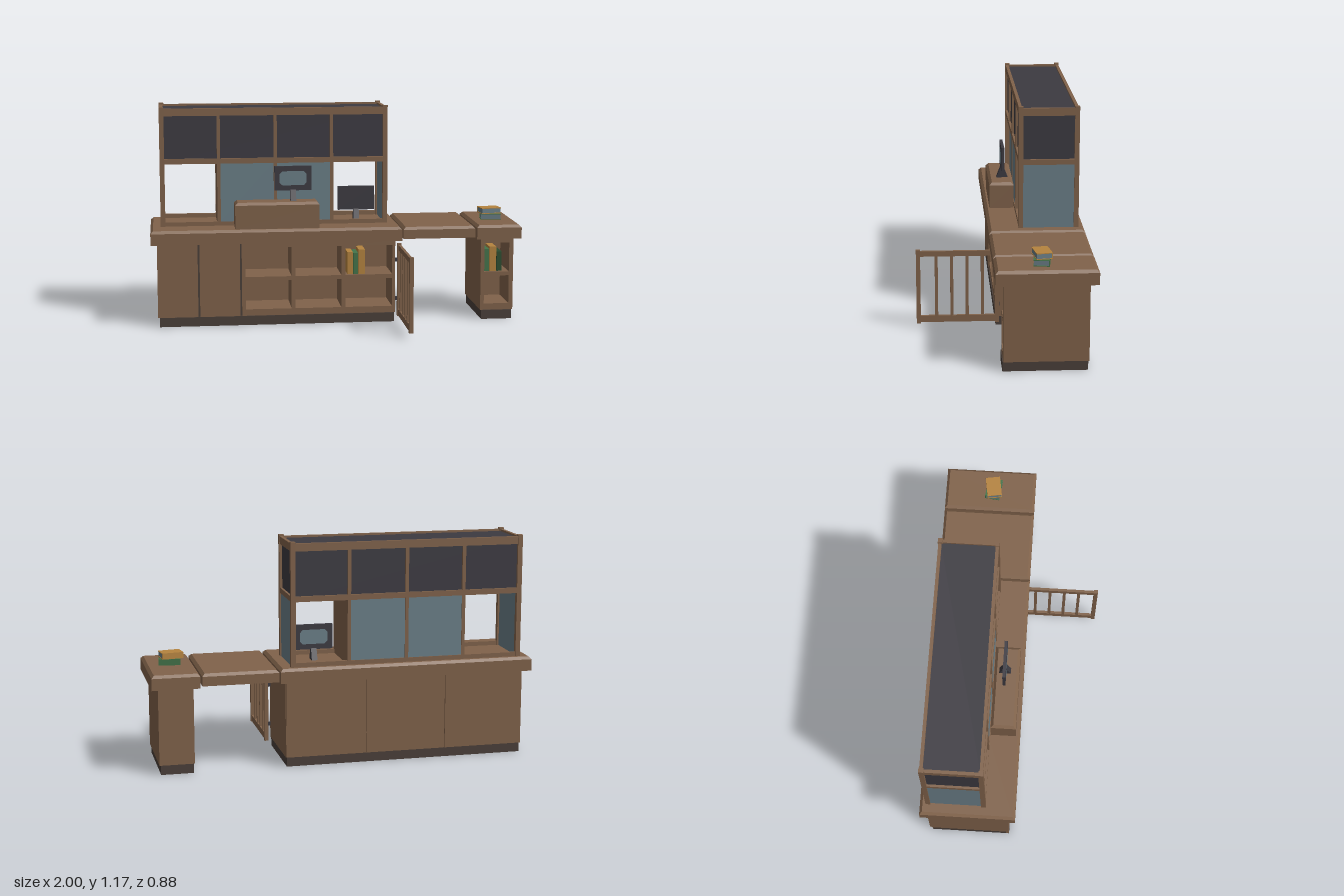
import * as THREE from 'three';

const mat = (name, color) => {
  const m = new THREE.MeshStandardMaterial({ color });
  m.name = name;
  return m;
};

export function createModel() {
  const wood = mat('brown wood', 0x80624a);
  const kick = mat('dark kick brown', 0x4a3f39);
  const dark = mat('charcoal', 0x3c3a41);
  const glass = mat('blue grey', 0x6b7f88);
  const orange = mat('orange cover', 0xb5843f);
  const green = mat('green cover', 0x44744a);
  const deepGreen = mat('deep green cover', 0x2c4d30);

  const model = new THREE.Group();
  const group = (name, parent = model) => {
    const g = new THREE.Group();
    g.name = name;
    parent.add(g);
    return g;
  };
  const add = (name, geo, m, parent) => {
    const mesh = new THREE.Mesh(geo, m);
    mesh.name = name;
    parent.add(mesh);
    return mesh;
  };
  // box given by its limits on each axis
  const box = (name, m, p, x0, x1, y0, y1, z0, z1) => {
    const mesh = add(name, new THREE.BoxGeometry(x1 - x0, y1 - y0, z1 - z0), m, p);
    mesh.position.set((x0 + x1) / 2, (y0 + y1) / 2, (z0 + z1) / 2);
    return mesh;
  };
  // slab whose top edges are chamfered
  const slab = (name, p, x0, x1, y0, y1, z0, z1, c = 0.014) => {
    const w = x1 - x0, h = y1 - y0, d = z1 - z0;
    const geo = new THREE.BoxGeometry(w, h, d, 1, 2, 1).toNonIndexed();
    const a = geo.attributes.position;
    for (let i = 0; i < a.count; i++) {
      if (Math.abs(a.getY(i)) < 1e-5) a.setY(i, h / 2 - c);
      else if (a.getY(i) > 0) {
        a.setX(i, Math.sign(a.getX(i)) * (w / 2 - c));
        a.setZ(i, Math.sign(a.getZ(i)) * (d / 2 - c));
      }
    }
    geo.computeVertexNormals();
    add(name, geo, wood, p).position.set((x0 + x1) / 2, (y0 + y1) / 2, (z0 + z1) / 2);
  };
  const rect = (C, x0, x1, y0, y1) => new C([[x0, y0], [x1, y0], [x1, y1], [x0, y1]].map(q => new THREE.Vector2(...q)));
  // open shelving: backed carcass plus a front block with cubby holes
  const shelves = (name, p, x0, x1, cells) => {
    const s = rect(THREE.Shape, x0, x1, 0.05, 0.45);
    for (const [a, b] of cells)
      for (const [c, d] of [[0.085, 0.24], [0.262, 0.422]]) s.holes.push(rect(THREE.Path, a, b, c, d));
    const front = add(name, new THREE.ExtrudeGeometry(s, { depth: 0.22, bevelEnabled: false }), wood, p);
    front.position.z = -0.2;
    box(name + 'Back', wood, p, x0, x1, 0.05, 0.45, -0.4, -0.2);
  };

  // Main counter
  const counter = group('mainCounter');
  slab('counterTop', counter, -1, 0.345, 0.45, 0.525, -0.44, 0.06);
  box('kickBase', kick, counter, -0.957, 0.307, 0, 0.05, -0.395, 0.025);
  box('cupboardBody', wood, counter, -0.96, -0.52, 0.05, 0.45, -0.4, 0.01);
  for (const [a, b] of [[-0.967, -0.752], [-0.742, -0.527]])
    box('frontDoor', wood, counter, a, b, 0.05, 0.45, 0.01, 0.024);
  for (const x of [-0.747, -0.522])
    box('doorGap', kick, counter, x - 0.005, x + 0.005, 0.05, 0.45, 0.01, 0.015);
  shelves('shelfUnit', counter, -0.517, 0.313, [[-0.497, -0.25], [-0.23, 0.02], [0.043, 0.297]]);
  for (let i = 0; i < 3; i++) {
    const x = -0.96 + i * 0.4243;
    box('backDoor', wood, counter, x + 0.002, x + 0.422, 0.052, 0.448, -0.41, -0.4);
  }

  // Lift flap and end cabinet
  slab('liftFlap', model, 0.352, 0.745, 0.46, 0.523, -0.44, 0.06);
  const end = group('endCabinet');
  slab('endTop', end, 0.755, 1, 0.45, 0.525, -0.44, 0.06);
  box('endKick', kick, end, 0.79, 0.957, 0, 0.05, -0.395, 0.025);
  shelves('endShelf', end, 0.785, 0.965, [[0.805, 0.942]]);

  // Upper cabinet and its frame
  const upper = group('upperCabinet');
  const [X0, X1, Z0, Z1] = [-0.945, 0.285, -0.41, -0.095];
  box('upperPanels', dark, upper, -0.93, 0.27, 0.868, 1.15, -0.395, -0.11);
  for (const x of [X0, X1 - 0.025])
    for (const z of [Z0, Z1 - 0.025])
      box('cornerPost', wood, upper, x, x + 0.025, 0.525, 1.168, z, z + 0.025);
  for (const [a, b] of [[Z0 + 0.003, Z0 + 0.02], [Z1 - 0.02, Z1 - 0.003]]) {
    for (const [c, d] of [[0.525, 0.547], [0.862, 0.89], [1.12, 1.16]])
      box('longRail', wood, upper, X0 + 0.01, X1 - 0.01, c, d, a, b);
    for (const x of [-0.63, -0.325, -0.02])
      box('upright', wood, upper, x - 0.009, x + 0.009, 0.525, 1.14, a, b);
    const zc = (a + b) / 2;
    for (const x of [-0.63, -0.325])
      box('middlePane', glass, upper, x + 0.009, x + 0.296, 0.547, 0.865, zc - 0.004, zc + 0.004);
  }
  for (const [a, b] of [[X0 + 0.003, X0 + 0.02], [X1 - 0.02, X1 - 0.003]]) {
    for (const [c, d] of [[0.862, 0.89], [1.12, 1.16]])
      box('sideRail', wood, upper, a, b, c, d, Z0 + 0.01, Z1 - 0.01);
    box('sidePane', glass, upper, (a + b) / 2 - 0.004, (a + b) / 2 + 0.004, 0.525, 0.865, Z0 + 0.02, Z1 - 0.02);
  }
  for (const x of [-0.63, -0.02])
    box('partition', wood, upper, x - 0.008, x + 0.008, 0.525, 0.87, Z0 + 0.01, Z1 - 0.01);

  // Raised desk box
  slab('deskBox', model, -0.55, -0.1, 0.525, 0.666, -0.095, 0.037);

  // Monitors, screen facing +z, with a wedge foot
  const monitor = (name, x, y, z, turn) => {
    const g = group(name);
    g.position.set(x, y, z);
    g.rotation.y = turn;
    box('monitorCase', dark, g, -0.1, 0.1, 0.055, 0.186, -0.008, 0.008);
    const c = 0.015, w = 0.073, h = 0.038;
    const pts = [[-w, -h + c], [-w + c, -h], [w - c, -h], [w, -h + c], [w, h - c], [w - c, h], [-w + c, h], [-w, h - c]];
    const face = new THREE.Shape(pts.map(q => new THREE.Vector2(...q)));
    add('screen', new THREE.ShapeGeometry(face), glass, g).position.set(0, 0.121, 0.0095);
    const foot = new THREE.Shape([[-0.031, 0], [0.031, 0], [0.008, 0.06], [-0.008, 0.06]].map(q => new THREE.Vector2(...q)));
    const f = add('foot', new THREE.ExtrudeGeometry(foot, { depth: 0.03, bevelEnabled: false }), dark, g);
    f.rotation.y = Math.PI / 2;
    f.position.x = -0.015;
  };
  monitor('clerkMonitor', -0.235, 0.666, -0.038, 0);
  monitor('visitorMonitor', 0.13, 0.525, -0.235, Math.PI);

  // Swing gate
  const gate = group('gate');
  for (const z of [0.008, 0.418]) box('gatePost', wood, gate, 0.325, 0.346, 0.03, 0.43, z, z + 0.022);
  for (const [a, b] of [[0.035, 0.07], [0.395, 0.423]])
    box('gateRail', wood, gate, 0.328, 0.343, a, b, 0.02, 0.43);
  for (const z of [0.095, 0.175, 0.255, 0.335])
    box('gateBar', wood, gate, 0.329, 0.342, 0.06, 0.4, z - 0.008, z + 0.008);
  for (const y of [0.125, 0.34]) box('hinge', dark, gate, 0.31, 0.327, y - 0.01, y + 0.01, 0.006, 0.018);

  // Standing books
  const books = group('shelfBooks');
  for (const [m, a, b, top] of [
    [orange, 0.055, 0.085, 0.383], [green, 0.087, 0.113, 0.378], [orange, 0.115, 0.15, 0.397],
    [green, 0.808, 0.835, 0.385], [orange, 0.838, 0.875, 0.397], [deepGreen, 0.878, 0.905, 0.37]])
    box('standingBook', m, books, a, b, 0.262, top, -0.11, 0);

  // Stacked books with covers, spine and pages
  const stack = group('bookStack');
  for (const [m, y, turn, x] of [[green, 0.525, -0.12, 0.875], [orange, 0.558, 0.16, 0.868]]) {
    const g = group('lyingBook', stack);
    g.position.set(x, y, -0.172);
    g.rotation.y = turn;
    box('pages', glass, g, -0.053, 0.053, 0.004, 0.028, -0.036, 0.038);
    for (const b of [0, 0.028]) box('cover', m, g, -0.056, 0.056, b, b + 0.004, -0.04, 0.04);
    box('spine', m, g, -0.056, 0.056, 0.004, 0.028, -0.04, -0.036);
  }

  return model;
}
